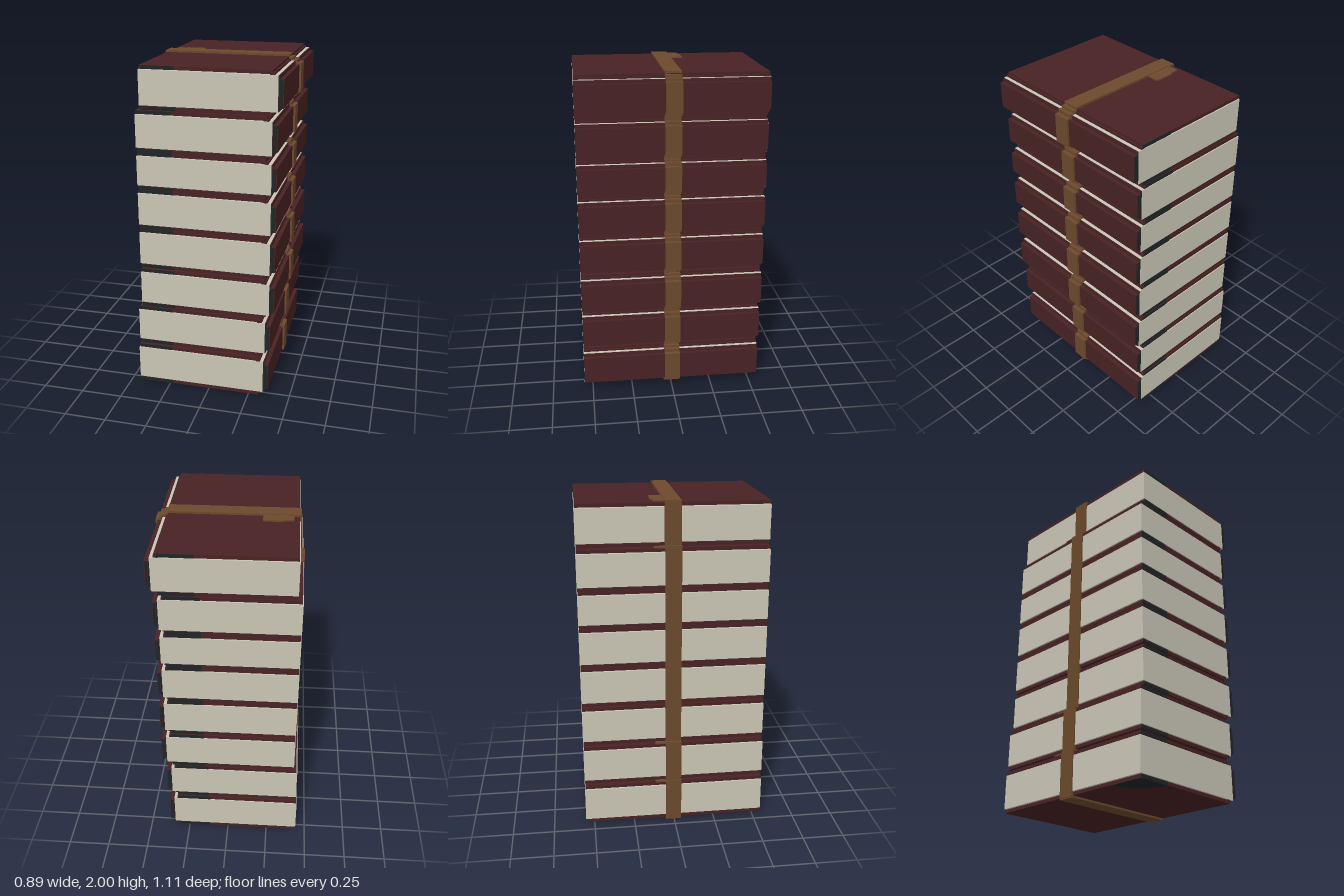
import * as THREE from 'three';

const mat = (name, color) => {
  const m = new THREE.MeshStandardMaterial({ color });
  m.name = name;
  return m;
};

export function createModel() {
  const leather = mat('maroonLeather', 0x482224);
  const paper = mat('paper', 0xcac6b6);
  const tan = mat('tanStrap', 0x6c492c);
  const black = mat('blackTrim', 0x212426);
  const model = new THREE.Group();
  model.name = 'strappedBookStack';

  // box from its minimum and maximum corners
  const box = (parent, name, m, x0, x1, y0, y1, z0, z1) => {
    const mesh = new THREE.Mesh(new THREE.BoxGeometry(x1 - x0, y1 - y0, z1 - z0), m);
    mesh.position.set((x0 + x1) / 2, (y0 + y1) / 2, (z0 + z1) / 2);
    mesh.name = name;
    parent.add(mesh);
  };

  const Z = 0.55, T = 0.02, P = 0.003;
  const S0 = -0.052, S1 = 0.044; // strap edges in z

  // stepped spine layers: x start, x end, inset from the book's top and bottom
  const steps = [[0.325, 0.352, 0.013], [0.35, 0.378, 0.025], [0.376, 0.402, 0.045]];

  // books: bottom, top, sideways shift
  const books = [
    [0.012, 0.266, -0.03], [0.28, 0.526, -0.022], [0.533, 0.777, 0], [0.787, 1.032, 0],
    [1.034, 1.274, 0], [1.275, 1.497, 0], [1.498, 1.737, 0], [1.742, 1.988, 0.028],
  ];

  books.forEach(([y0, y1, shift], i) => {
    const book = new THREE.Group();
    book.name = 'book' + (i + 1);
    book.position.x = shift;
    model.add(book);

    // covers with black corner trim on their end edges
    for (const [name, a, b] of [['bottomCover', y0, y0 + T], ['topCover', y1 - T, y1]]) {
      box(book, name, leather, -0.405, 0.34, a, b, -Z, Z);
      box(book, 'frontCornerTrim', black, -0.405, -0.2, a, b, Z, Z + P);
      box(book, 'backCornerTrim', black, 0.14, 0.34, a, b, -Z - P, -Z);
    }

    // page block
    box(book, 'pages', paper, -0.41, 0.372, y0 + T + 0.004, y1 - T - 0.004, -Z - P, Z + P);

    // stepped spine with dark ends and the strap wrapped over it
    steps.forEach(([x0, x1, inset], k) => {
      const a = y0 + inset, b = y1 - inset;
      box(book, 'spine', leather, x0, x1, a, b, -Z, Z);
      box(book, 'spineStrap', tan, x0, x1 + 0.012, a - 0.008, b + 0.008, S0, S1);
      if (k > 0) for (const s of [-1, 1]) {
        const z = s * (Z + 0.001);
        box(book, 'spineEnd', black, x0, x1 - 0.004, a, b, z - 0.001, z + 0.001);
      }
    });

    // strap along the page edge and across both covers
    box(book, 'edgeStrap', tan, -0.417, -0.404, y0 - 0.006, y1 + 0.006, S0, S1);
    box(book, 'coverStrapTop', tan, -0.412, 0.345, y1, y1 + 0.012, S0, S1);
    box(book, 'coverStrapBottom', tan, -0.412, 0.345, y0 - 0.012, y0, S0, S1);

    // loose strap end tucked beside the strap on the exposed covers
    if ([0, 1, 6, 7].includes(i)) {
      const left = i === 7 ? -0.375 : -0.41;
      box(book, 'strapEnd', tan, left, -0.32, y1, y1 + 0.008, -0.115, S0);
      box(book, 'strapTip', tan, -0.32, -0.2, y1, y1 + 0.008, -0.126, S0);
    }
  });

  // rounded dark corner patch underneath the lowest book
  const corner = new THREE.Shape();
  corner.moveTo(0, 0);
  corner.lineTo(0.2, 0);
  corner.absarc(0, 0, 0.2, 0, Math.PI / 2, false);
  corner.lineTo(0, 0);
  const patch = new THREE.Mesh(
    new THREE.ExtrudeGeometry(corner, { depth: 0.003, bevelEnabled: false, curveSegments: 10 }), black);
  patch.name = 'bottomCornerPatch';
  patch.rotation.x = -Math.PI / 2;
  patch.position.set(-0.435, 0.0095, Z);
  model.add(patch);

  return model;
}
